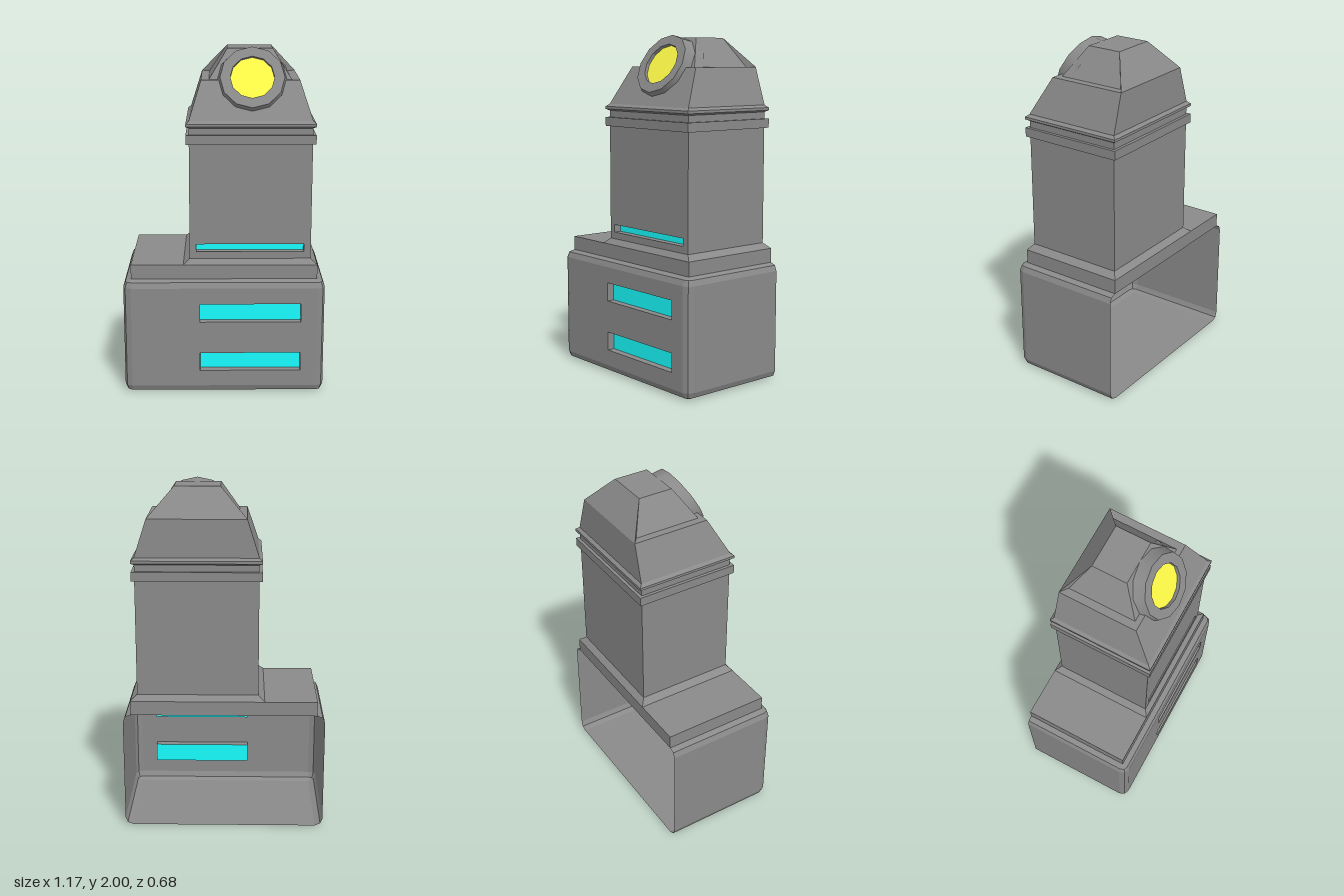
import * as THREE from 'three';

const mat = (color, flatShading = true) => new THREE.MeshStandardMaterial({ color, flatShading, side: THREE.DoubleSide });
const grey = mat(0x8a8a8a), smoothGrey = mat(0x8a8a8a, false), cyan = mat(0x18fdff), yellow = mat(0xfffb48);

function add(group, name, geometry, material = grey) {
  const mesh = new THREE.Mesh(geometry, material);
  mesh.name = name;
  group.add(mesh);
  return mesh;
}

// Skin a stack of rings (bottom to top); skip(row, segment) leaves an opening
function loft(rings, { closed = true, top = false, bottom = false, skip = () => false } = {}) {
  const pos = [], n = rings[0].length;
  const tri = (...pts) => pts.forEach((p) => pos.push(...p));
  for (let i = 0; i < rings.length - 1; i++) {
    for (let j = 0; j < (closed ? n : n - 1); j++) {
      if (skip(i, j)) continue;
      const k = (j + 1) % n;
      const a = rings[i][j], b = rings[i][k], c = rings[i + 1][k], d = rings[i + 1][j];
      tri(a, b, c);
      tri(a, c, d);
    }
  }
  const last = rings[rings.length - 1], first = rings[0];
  for (let j = 1; j < n - 1; j++) {
    if (top) tri(last[0], last[j], last[j + 1]);
    if (bottom) tri(first[0], first[j + 1], first[j]);
  }
  const g = new THREE.BufferGeometry();
  g.setAttribute('position', new THREE.Float32BufferAttribute(pos, 3));
  g.computeVertexNormals();
  return g;
}

const rect = (y, x0, x1, z0, z1) => [[x0, y, z0], [x0, y, z1], [x1, y, z1], [x1, y, z0]];

// Front wall with rectangular openings, each with a recess and a coloured panel
function slottedWall(group, name, [x0, x1, y0, y1], z, slots, depth) {
  const corners = (a, b, c, d) => [[a, c], [b, c], [b, d], [a, d]];
  const path = (p) => p.map(([x, y]) => new THREE.Vector2(x, y));
  const shape = new THREE.Shape(path(corners(x0, x1, y0, y1)));
  for (const [a, b, c, d] of slots) {
    const outline = corners(a, b, c, d);
    shape.holes.push(new THREE.Path(path(outline)));
    add(group, 'slotRecess', loft([z, z - depth].map((w) => outline.map(([x, y]) => [x, y, w]))));
    const panel = add(group, 'slotPanel', new THREE.PlaneGeometry(b - a, d - c), cyan);
    panel.position.set((a + b) / 2, (c + d) / 2, z - depth);
  }
  add(group, name, new THREE.ShapeGeometry(shape)).position.z = z;
}

export function createModel() {
  const model = new THREE.Group();
  model.name = 'periscopeTower';

  // Hollow base, open at the back, with rounded front edges and a plinth on top
  const X = 0.538, Z = 0.297, B = -0.342, c = Math.SQRT1_2;
  const baseRing = ([y, r]) => {
    const side = [[X + r, B], [X + r, Z], [X + r * c, Z + r * c], [X, Z + r]];
    return [...side.map(([x, z]) => [-x, y, z]), ...side.reverse().map(([x, z]) => [x, y, z])];
  };
  const baseRows = [[0, 0], [0.013, 0.032], [0.045, 0.045], [0.645, 0.045], [0.677, 0.032], [0.69, 0], [0.773, 0]];
  add(model, 'baseShell', loft(baseRows.map(baseRing), {
    closed: false, bottom: true, skip: (i, j) => i === 2 && j === 3,
  }));
  slottedWall(model, 'baseFront', [-X, X, 0.045, 0.645], Z + 0.045,
    [[-0.14, 0.445, 0.44, 0.55], [-0.14, 0.445, 0.14, 0.25]], 0.045);
  add(model, 'plinthBack', loft([[[X, 0.69, B], [-X, 0.69, B]], [[X, 0.773, B], [-X, 0.773, B]]], { closed: false }));
  add(model, 'plinthTop', loft([rect(0.773, -X, -0.235, B, Z)], { top: true }));

  // Hollow tower: skirt, shaft, square band, pointed flange and lower head
  const tower = (y, grow = 0) => rect(y, -0.198 - grow, 0.5 + grow, -0.31 - grow, 0.27 + grow);
  const towerRings = [
    rect(0.773, -0.235, X, B, Z), tower(0.805),
    tower(1.475), tower(1.475, 0.018), tower(1.527, 0.018), tower(1.527),
    tower(1.565), tower(1.575, 0.018), tower(1.59, 0.018), tower(1.605),
    rect(1.82, -0.13, 0.43, -0.305, 0.155),
  ];
  add(model, 'tower', loft(towerRings, { top: true, skip: (i, j) => i === 1 && j === 1 }));
  slottedWall(model, 'towerFront', [-0.198, 0.5, 0.805, 1.475], 0.27, [[-0.16, 0.46, 0.845, 0.89]], 0.045);

  // Upper head: inset sides with a wider back plate
  const mirrored = (y, half) => [
    ...half.map(([x, z]) => [0.15 - x, y, z]),
    ...[...half].reverse().map(([x, z]) => [0.15 + x, y, z]),
  ];
  add(model, 'headTop', loft([
    mirrored(1.82, [[0.28, -0.305], [0.235, -0.27], [0.235, 0.125]]),
    mirrored(1.985, [[0.13, -0.185], [0.13, -0.185], [0.13, 0.02]]),
  ], { top: true }));

  // Tilted lamp: smooth flared housing, flat rim and a recessed lens
  const lamp = new THREE.Group();
  lamp.name = 'lamp';
  const lathe = (profile) => new THREE.LatheGeometry(profile.map(([r, y]) => new THREE.Vector2(r, y)), 12);
  add(lamp, 'lampHousing', lathe([[0.225, -0.11], [0.2, -0.06], [0.183, 0]]), smoothGrey);
  add(lamp, 'lampRim', lathe([[0.183, 0], [0.125, 0], [0.125, -0.025]]));
  const lens = add(lamp, 'lens', new THREE.CircleGeometry(0.125, 12), yellow);
  lens.rotation.set(-Math.PI / 2, 0, Math.PI / 2);
  lens.position.y = -0.02;
  lamp.rotation.x = 1.07;
  lamp.position.set(0.16, 1.84, 0.178);
  model.add(lamp);

  return model;
}
